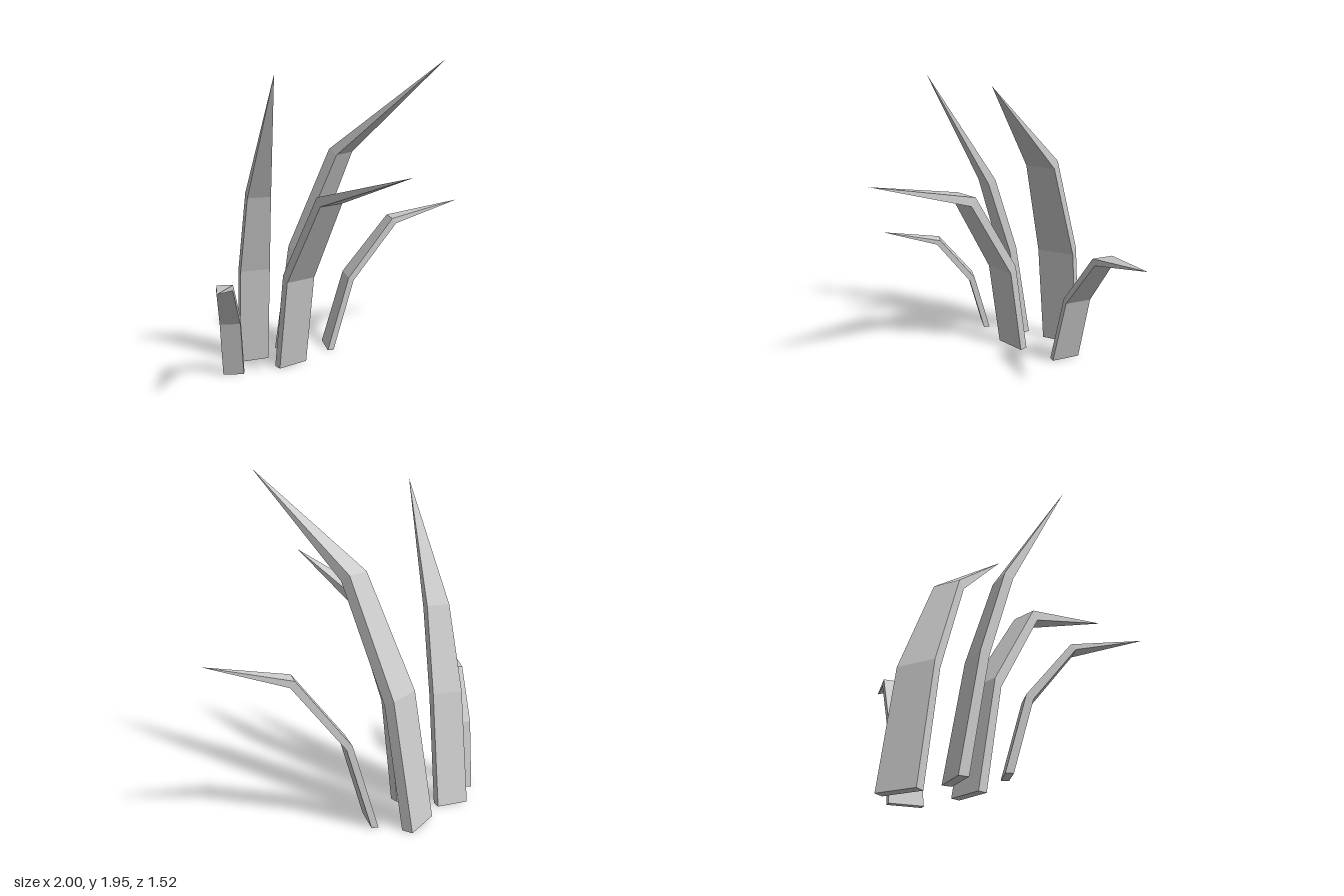
import * as THREE from 'three';

// Each blade: root (x, z) of its back edge, direction it bends towards (x, z), tip [reach, height],
// and rings of [width, back reach, back height, front reach, front height].
const BLADES = [
  { name: 'centreBlade', root: [-0.23, -0.42], dir: [0, 1], tip: [1.18, 1.385],
    rings: [[0.205, 0, 0, 0.055, 0], [0.203, 0.115, 0.64, 0.16, 0.6], [0.157, 0.45, 1.18, 0.485, 1.13]] },
  { name: 'tallRightBlade', root: [-0.055, -0.72], dir: [0.337, 0.941], tip: [1.173, 1.95],
    rings: [[0.243, 0, 0, 0.065, 0], [0.243, 0.132, 0.74, 0.19, 0.71], [0.18, 0.438, 1.4, 0.493, 1.365]] },
  { name: 'tallLeftBlade', root: [-0.373, -0.642], dir: [-0.29, 0.957], tip: [0.703, 1.88],
    rings: [[0.193, 0, 0, 0.055, 0], [0.188, 0.11, 0.665, 0.16, 0.645], [0.145, 0.262, 1.165, 0.312, 1.14]] },
  { name: 'shortLeftBlade', root: [-0.588, -0.503], dir: [-0.57, 0.82], tip: [0.73, 0.757],
    rings: [[0.129, 0, 0, 0.04, 0], [0.125, 0.105, 0.395, 0.14, 0.372], [0.095, 0.34, 0.685, 0.365, 0.658]] },
  { name: 'shortRightBlade', root: [0.128, -0.508], dir: [0.918, 0.397], tip: [0.94, 0.98],
    rings: [[0.19, 0, 0, 0.04, 0], [0.172, 0.15, 0.5, 0.184, 0.48], [0.13, 0.459, 0.887, 0.486, 0.852]] },
];

// Four-sided tapering blade, pointed at the tip and closed at the base
function bladeGeometry(rings, tip) {
  const pos = [];
  for (const [w, bs, by, fs, fy] of rings) {
    const h = w / 2;
    pos.push(-h, by, bs, -h, fy, fs, h, fy, fs, h, by, bs);
  }
  pos.push(0, tip[1], tip[0]);

  const index = [0, 3, 2, 0, 2, 1];
  const last = rings.length - 1;
  const apex = rings.length * 4;
  for (let i = 0; i < 4; i++) {
    const j = (i + 1) % 4;
    for (let r = 0; r < last; r++) {
      const a = r * 4 + i, b = r * 4 + j;
      index.push(a, b, b + 4, a, b + 4, a + 4);
    }
    index.push(last * 4 + i, last * 4 + j, apex);
  }

  const indexed = new THREE.BufferGeometry();
  indexed.setAttribute('position', new THREE.Float32BufferAttribute(pos, 3));
  indexed.setIndex(index);
  const geometry = indexed.toNonIndexed();
  geometry.computeVertexNormals();
  return geometry;
}

export function createModel() {
  const group = new THREE.Group();
  group.name = 'grassTuft';
  const material = new THREE.MeshStandardMaterial({ color: 0xcccccc, flatShading: true });

  for (const { name, root, dir, tip, rings } of BLADES) {
    const blade = new THREE.Mesh(bladeGeometry(rings, tip), material);
    blade.name = name;
    blade.position.set(root[0], 0, root[1]);
    blade.rotation.y = Math.atan2(dir[0], dir[1]);
    group.add(blade);
  }
  return group;
}
